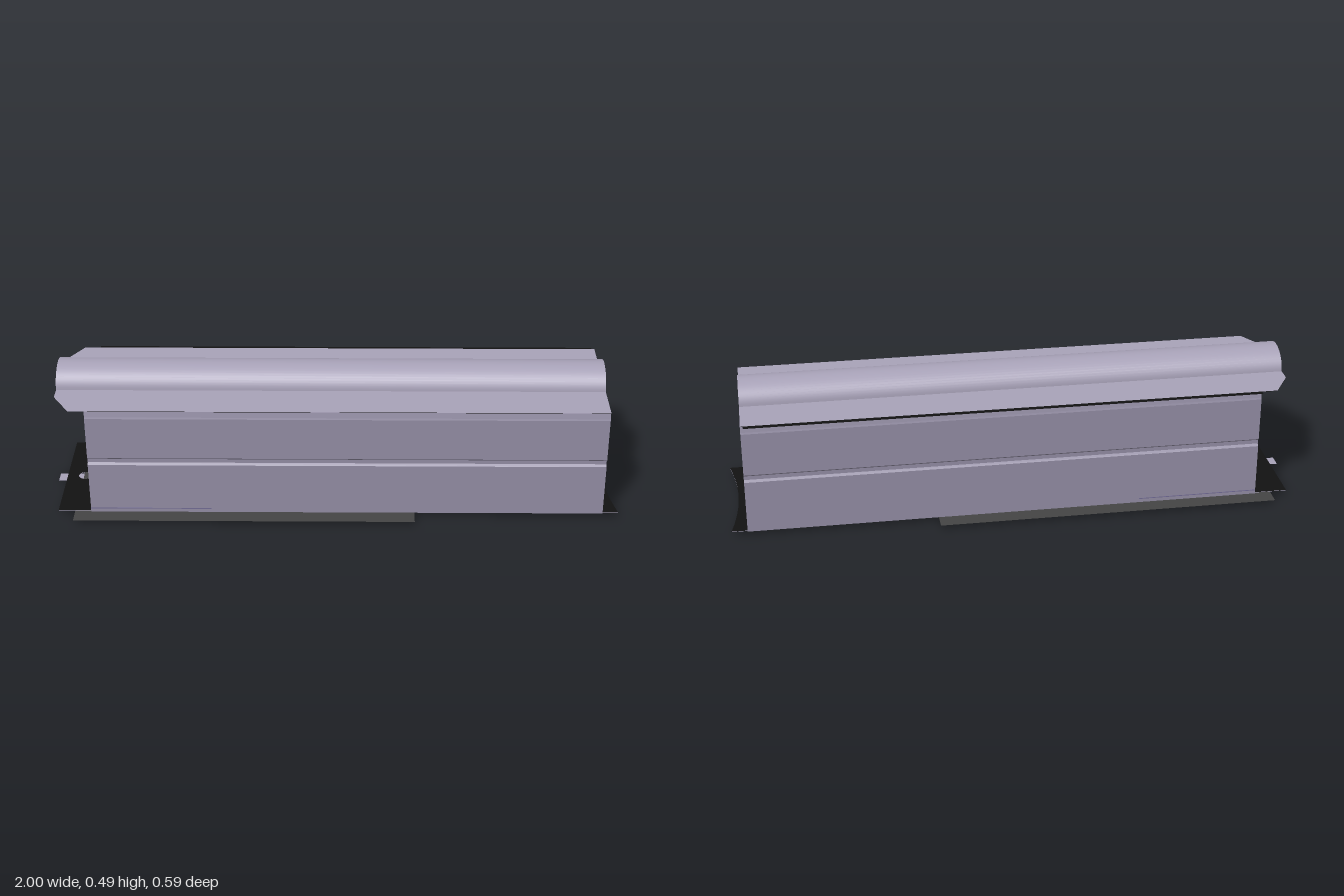
import * as THREE from 'three';

const mat = (color) => new THREE.MeshStandardMaterial({ color, side: THREE.DoubleSide });

// Sheet swept along x from a list of [y, z] profile points, facing +z where the profile rises
function sheet(profile, x0, x1, smooth = false) {
  const pos = [], idx = [];
  profile.forEach(([y, z], i) => {
    pos.push(x0, y, z, x1, y, z);
    if (i) {
      const a = 2 * i - 2;
      idx.push(a, a + 1, a + 2, a + 1, a + 3, a + 2);
    }
  });
  let g = new THREE.BufferGeometry();
  g.setAttribute('position', new THREE.Float32BufferAttribute(pos, 3));
  g.setIndex(idx);
  if (!smooth) g = g.toNonIndexed();
  g.computeVertexNormals();
  return g;
}

// Flat upward plate from [x, z] outline points with optional round holes [x, z, r]
function plate(outline, y, holes = []) {
  const s = new THREE.Shape(outline.map(([x, z]) => new THREE.Vector2(x, -z)));
  for (const [x, z, r] of holes) s.holes.push(new THREE.Path().absarc(x, -z, r, 0, Math.PI * 2, true));
  return new THREE.ShapeGeometry(s, 24).rotateX(-Math.PI / 2).translate(0, y, 0);
}

// Half-round [y, z] profile of the roof dome, drawn in by the given inset
function arch(inset) {
  const pts = [];
  for (let i = 0; i <= 24; i++) {
    const a = (i / 24) * Math.PI;
    pts.push([0.42 + (0.07 - inset) * Math.sin(a), (0.0875 - inset) * Math.cos(a)]);
  }
  return pts;
}

const rect = (x0, x1, w) => [[x0, -w], [x1, -w], [x1, w], [x0, w]];

export function createModel() {
  const group = new THREE.Group();
  const steel = mat(0xa8a2b8), wallSteel = mat(0x938da4), fitting = mat(0x726c94);
  const dark = mat(0x444444), black = mat(0x333333), lining = mat(0x121212), grey = mat(0xcccccc);

  const add = (name, geo, m, x = 0, y = 0, z = 0) => {
    const mesh = new THREE.Mesh(geo, m);
    mesh.name = name;
    mesh.position.set(x, y, z);
    group.add(mesh);
  };
  const box = (name, m, x0, x1, y0, y1, z0, z1) =>
    add(name, new THREE.BoxGeometry(x1 - x0, y1 - y0, Math.abs(z1 - z0)), m,
      (x0 + x1) / 2, (y0 + y1) / 2, (z0 + z1) / 2);

  // Roof: domed centre between two flat flanges with clipped corners, dark inside
  add('roofDome', sheet(arch(0), -0.97, 0.945, true), steel);
  add('roofDomeLining', sheet(arch(0.002), -0.97, 0.945, true), lining);
  for (const s of [1, -1]) {
    const outline = [[-0.97, 0.0875], [-0.97, 0.14], [-0.91, 0.24], [0.945, 0.24], [0.945, 0.0875]];
    const flange = plate(outline.map(([x, z]) => [x, z * s]), 0.42);
    add('roofFlange', flange, steel);
    add('roofFlangeLining', flange, lining, 0, -0.0015, 0);

    // Side wall with a groove at mid height and a top band leaning inwards
    const profile = [[0.015, 0.225], [0.015, 0.237], [0.205, 0.237], [0.212, 0.229], [0.226, 0.229],
      [0.233, 0.237], [0.388, 0.237], [0.394, 0.235], [0.419, 0.229]].map(([y, z]) => [y, z * s]);
    if (s < 0) profile.reverse();
    const wall = sheet(profile, -0.855, 0.945);
    add('sideWall', wall, wallSteel);
    add('sideWallLining', wall, lining, 0, 0, -0.0015 * s);
    box('lowerStrip', fitting, -0.855, -0.43, 0.028, 0.031, s * 0.235, s * 0.238);
  }
  add('backLip', sheet([[0.419, -0.238], [0.418, -0.255]], -0.855, 0.935), lining);

  // Floor with a curved end, a drain hole and a small hole above the tongue
  const outline = [[-0.97, 0.237], [-0.97, -0.237]];
  for (let i = 0; i <= 12; i++) {
    const t = i / 6 - 1;
    outline.push([0.972 + 0.028 * t * t, 0.237 * t]);
  }
  const floor = plate(outline, 0.018, [[0.6, 0, 0.06], [-0.905, 0, 0.025]]);
  add('floor', floor, steel);
  add('floorLining', floor, lining, 0, 0.0015, 0);
  add('underPlate', plate(rect(-0.912, 0.283, 0.297), 0.015), dark);

  // Base block: ribbed face towards the open end, dark top and rear
  box('baseBlock', [steel, lining, lining, fitting, lining, lining], -0.85, -0.56, 0.013, 0.05, -0.236, 0.236);
  for (const y of [0.022, 0.032, 0.044]) box('baseRib', fitting, -0.56, -0.557, y - 0.001, y + 0.001, -0.236, 0.236);

  // Darker slatted channel in the middle, and the flat tongue at the far end
  box('channel', fitting, -0.58, -0.55, 0.013, 0.051, -0.058, 0.058);
  for (let i = 0; i < 5; i++) box('channelSlat', black, -0.55, -0.546, 0.016 + i * 0.007, 0.019 + i * 0.007, -0.056, 0.056);
  add('tongue', plate(rect(-1, -0.84, 0.025), 0.0125), steel);

  // Clamp bars, bolts, side fins and roof posts, mirrored across the middle
  for (const s of [1, -1]) {
    box('clampBar', fitting, -0.64, -0.61, 0.055, 0.065, s * 0.05, s * 0.236);
    for (const z of [0.058, 0.093, 0.132, 0.167, 0.198]) {
      const r = z < 0.06 ? 0.007 : 0.005;
      add('bolt', new THREE.CylinderGeometry(0.0025, 0.0025, 0.028, 8), fitting, -0.625, 0.064, s * z);
      add('boltHead', new THREE.CylinderGeometry(r, r, 0.007, 8), fitting, -0.625, 0.07, s * z);
      for (const x of [-0.64, -0.84])
        add('bottomBolt', new THREE.CylinderGeometry(0.007, 0.007, 0.002, 6), fitting, x, 0.0125, s * z);
    }
    const fin = new THREE.Shape([[-0.7, 0], [-0.69, 0], [-0.67, 0.013], [-0.67, 0.05], [-0.7, 0.05]]
      .map(([x, y]) => new THREE.Vector2(x, y)));
    add('sideFin', new THREE.ShapeGeometry(fin), fitting, 0, 0, s * 0.06);
    for (const x of [-0.79, -0.71]) {
      add('post', new THREE.CylinderGeometry(0.0145, 0.0145, 0.406, 20), black, x, 0.216, s * 0.132);
      add('postFoot', new THREE.CylinderGeometry(0.0175, 0.0175, 0.002, 20), black, x, 0.0125, s * 0.132);
      add('postCollar', new THREE.CylinderGeometry(0.02, 0.02, 0.003, 20), steel, x, 0.0515, s * 0.132);
    }
  }

  // Upright panel with a rounded top near the open end
  const panel = new THREE.Shape();
  panel.moveTo(-0.027, 0.05);
  panel.lineTo(0.027, 0.05);
  panel.lineTo(0.027, 0.184);
  panel.quadraticCurveTo(0.018, 0.2, 0, 0.2);
  panel.quadraticCurveTo(-0.018, 0.2, -0.027, 0.184);
  add('uprightPanel', new THREE.ShapeGeometry(panel, 4).rotateY(Math.PI / 2), grey, 0.925);

  return group;
}
